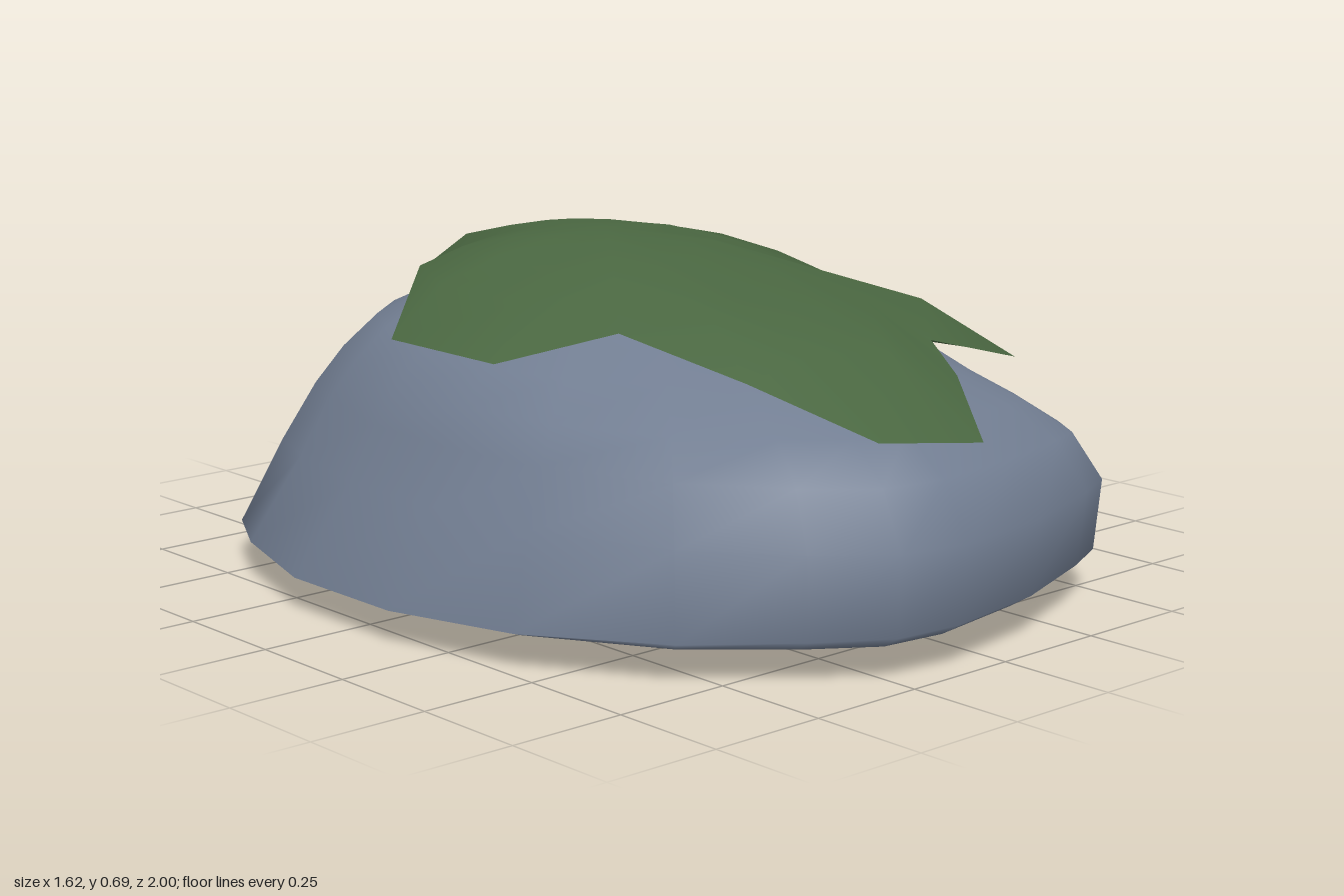
import * as THREE from 'three';
import { mergeVertices } from 'three/addons/utils/BufferGeometryUtils.js';

const stone = new THREE.MeshStandardMaterial({ color: 0x727e92 });
stone.name = 'slate stone';
const green = new THREE.MeshStandardMaterial({ color: 0x4a6741, side: THREE.DoubleSide });
green.name = 'moss green';

// Skin a stack of closed rings; point(i, j) gives [x, y, z].
function loft(rings, sides, point) {
  const positions = [], index = [];
  for (let i = 0; i < rings; i++) {
    for (let j = 0; j < sides; j++) {
      positions.push(...point(i, j));
      if (i === rings - 1) continue;
      const k = (j + 1) % sides;
      const a = i * sides + j, b = i * sides + k;
      const c = a + sides, d = b + sides;
      index.push(a, c, b, b, c, d);
    }
  }
  let geometry = new THREE.BufferGeometry();
  geometry.setAttribute('position', new THREE.Float32BufferAttribute(positions, 3));
  geometry.setIndex(index);
  geometry = mergeVertices(geometry, 1e-4);
  geometry.computeVertexNormals();
  return geometry;
}

// Widest outline of the boulder, as x, z
const outline = [
  [0.01, -1], [0.27, -0.94], [0.6, -0.74], [0.72, -0.63], [0.78, -0.48],
  [0.81, -0.31], [0.81, -0.17], [0.77, 0.12], [0.7, 0.35], [0.65, 0.53],
  [0.58, 0.7], [0.5, 0.81], [0.38, 0.87], [0.14, 0.96], [-0.11, 1],
  [-0.26, 0.98], [-0.4, 0.88], [-0.58, 0.71], [-0.74, 0.43], [-0.81, 0.14],
  [-0.81, -0.17], [-0.73, -0.44], [-0.65, -0.59], [-0.44, -0.77], [-0.22, -0.9],
];

// Boulder layers: height, outline scale towards +x, -x, +z, -z, and share of the corner lift
const layers = [
  [0, 0, 0, 0, 0, 0],
  [0.01, 0.4, 0.4, 0.4, 0.4, 0],
  [0.032, 0.73, 0.73, 0.73, 0.73, 0],
  [0.06, 0.93, 0.95, 0.93, 0.9, 0],
  [0.09, 1, 1, 0.98, 1, 0],
  [0.25, 1, 0.84, 1, 0.96, 0.3],
  [0.36, 0.94, 0.78, 0.93, 0.85, 0.7],
  [0.43, 0.85, 0.72, 0.82, 0.77, 1],
  [0.5, 0.74, 0.65, 0.62, 0.67, 1],
  [0.56, 0.54, 0.53, 0.38, 0.53, 0.8],
  [0.61, 0.3, 0.36, 0.22, 0.35, 0.4],
  [0.635, 0, 0, 0, 0, 0],
];

function boulderPoint(i, j) {
  const [x, z] = outline[j];
  const [y, right, left, front, back, share] = layers[i];
  const wx = (x * x) / (x * x + z * z);
  const scale = (x > 0 ? right : left) * wx + (z > 0 ? front : back) * (1 - wx);
  // the lower rim dips a little on the -x side
  const dip = i === 4 && x < 0 ? 0.02 * wx : 0;
  // the +x +z shoulder sinks and the opposite one swells
  const lift = x * z < 0 ? 0 : (x > 0 ? -0.05 : 0.03);
  return [x * scale, y - dip + lift * share * 4 * wx * (1 - wx), z * scale];
}

// Ragged rim of the moss cap, as x, y, z
const mossRim = [
  [-0.04, 0.545, -0.72], [0.21, 0.53, -0.78], [0.41, 0.55, -0.58],
  [0.56, 0.55, -0.28], [0.78, 0.44, -0.27], [0.785, 0.37, 0],
  [0.7, 0.4, 0.25], [0.59, 0.43, 0.49], [0.35, 0.495, 0.47],
  [0.2, 0.475, 0.68], [0.03, 0.405, 0.905], [-0.23, 0.44, 0.88],
  [-0.31, 0.52, 0.61], [-0.35, 0.575, 0.29], [-0.55, 0.52, 0.15],
  [-0.55, 0.52, -0.18], [-0.36, 0.63, -0.33], [-0.11, 0.62, -0.46],
];
const mossTop = [0, 0.695, -0.15];

// Moss rings: reach, then share of the fall towards +x +z and towards -x -z
const mossSteps = [
  [1, 1, 1], [0.77, 0.54, 0.42], [0.52, 0.32, 0.18], [0.27, 0.1, 0.03], [0, 0, 0],
];

function mossPoint(i, j) {
  const [reach, sunny, shady] = mossSteps[i];
  const [dx, dy, dz] = mossRim[j].map((v, axis) => v - mossTop[axis]);
  const w = 0.5 + (dx + dz) / Math.hypot(dx, dz) / Math.SQRT2 / 2;
  const fall = shady + (sunny - shady) * w;
  return [mossTop[0] + dx * reach, mossTop[1] + dy * fall, mossTop[2] + dz * reach];
}

export function createModel() {
  const group = new THREE.Group();
  group.name = 'mossyBoulder';

  const boulder = new THREE.Mesh(loft(layers.length, outline.length, boulderPoint), stone);
  boulder.name = 'boulder';

  const moss = new THREE.Mesh(loft(mossSteps.length, mossRim.length, mossPoint), green);
  moss.name = 'mossCap';

  group.add(boulder, moss);
  return group;
}
